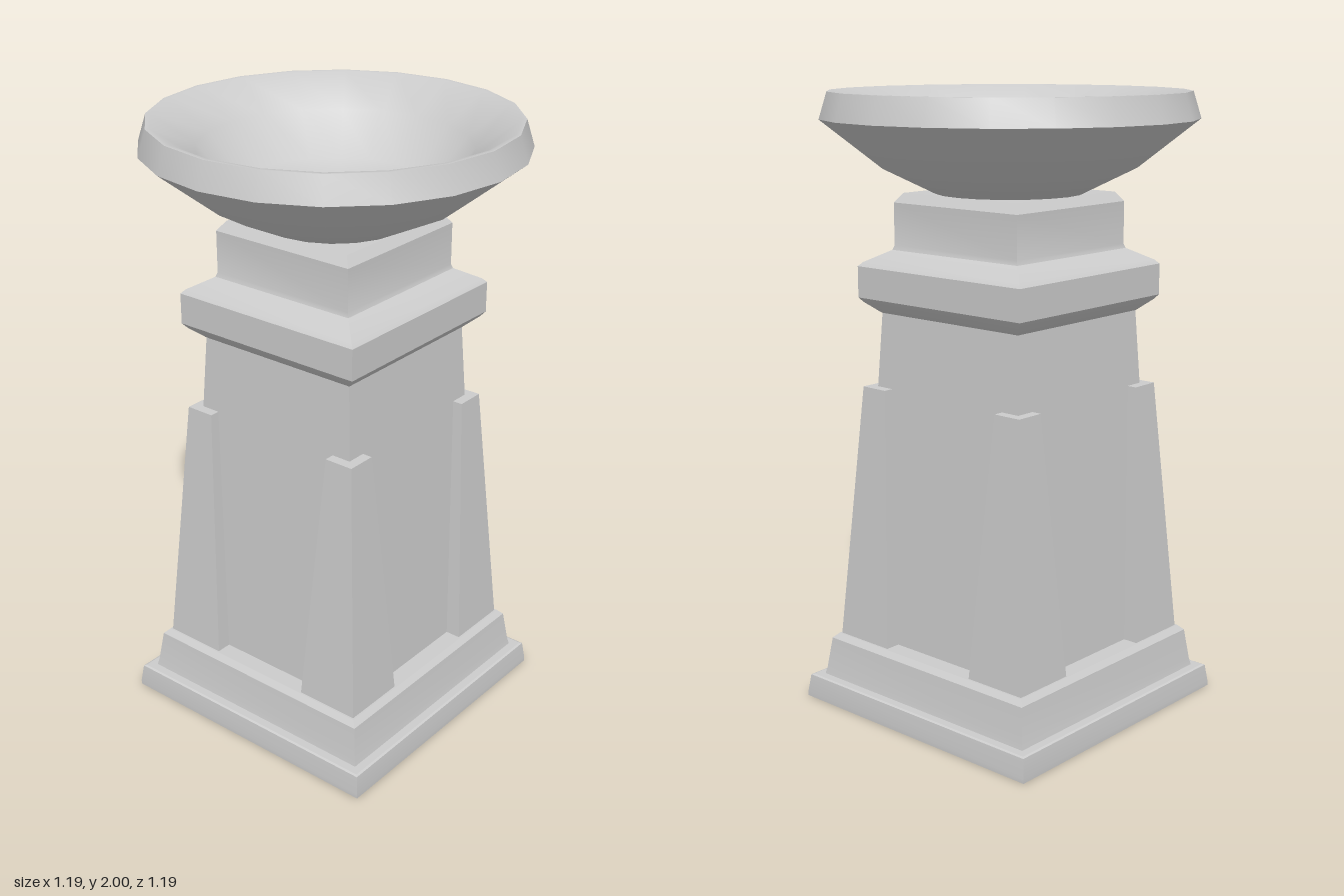
import * as THREE from 'three';
import { toCreasedNormals } from 'three/addons/utils/BufferGeometryUtils.js';

const grey = new THREE.MeshStandardMaterial({ color: 0xcccccc });

// Turned solid: profile of [radius, y] from bottom to top
function turn(name, profile, sides, crease, phiStart = 0) {
  const points = profile.map(([r, y]) => new THREE.Vector2(r, y));
  const geometry = toCreasedNormals(new THREE.LatheGeometry(points, sides, phiStart), crease);
  const mesh = new THREE.Mesh(geometry, grey);
  mesh.name = name;
  return mesh;
}

// Square moulding: profile of [half width, y]
function square(name, profile) {
  const corners = profile.map(([h, y]) => [h * Math.SQRT2, y]);
  return turn(name, corners, 4, 0.4, Math.PI / 4);
}

// Tapered block hugging one corner of the shaft
function cornerPost() {
  const bottom = { y: 0.21, inner: 0.18, outer: 0.397 };
  const top = { y: 1.065, inner: 0.235, outer: 0.333 };
  const geometry = new THREE.BoxGeometry(1, 1, 1).toNonIndexed();
  const p = geometry.attributes.position;
  for (let i = 0; i < p.count; i++) {
    const end = p.getY(i) > 0 ? top : bottom;
    p.setXYZ(i, p.getX(i) > 0 ? end.outer : end.inner, end.y,
      p.getZ(i) > 0 ? end.outer : end.inner);
  }
  geometry.computeVertexNormals();
  return geometry;
}

export function createModel() {
  const model = new THREE.Group();
  model.name = 'pedestalBowl';

  // Stepped base
  model.add(square('plinth', [[0, 0], [0.48, 0], [0.48, 0.015], [0.472, 0.075], [0.465, 0.078], [0, 0.078]]));
  model.add(square('baseBlock', [[0, 0.07], [0.44, 0.07], [0.433, 0.1], [0.419, 0.205], [0.402, 0.222], [0, 0.222]]));

  // Tapered shaft
  model.add(square('shaft', [[0, 0.2], [0.347, 0.2], [0.286, 1.32], [0, 1.32]]));

  // Four corner posts
  const postGeometry = cornerPost();
  for (let i = 0; i < 4; i++) {
    const post = new THREE.Mesh(postGeometry, grey);
    post.name = 'cornerPost';
    post.rotation.y = i * Math.PI / 2;
    model.add(post);
  }

  // Capital collar and neck
  model.add(square('capital', [[0, 1.305], [0.288, 1.305], [0.328, 1.34], [0.34, 1.355],
    [0.34, 1.455], [0.328, 1.468], [0.262, 1.506], [0.257, 1.52], [0.257, 1.655], [0.235, 1.685], [0, 1.685]]));

  // Shallow dish with hollow inside
  model.add(turn('bowl', [[0, 1.682], [0.23, 1.682], [0.4, 1.765], [0.593, 1.917], [0.567, 2],
    [0.553, 2], [0.42, 1.91], [0.31, 1.78], [0, 1.775]], 20, 0.97));

  return model;
}
